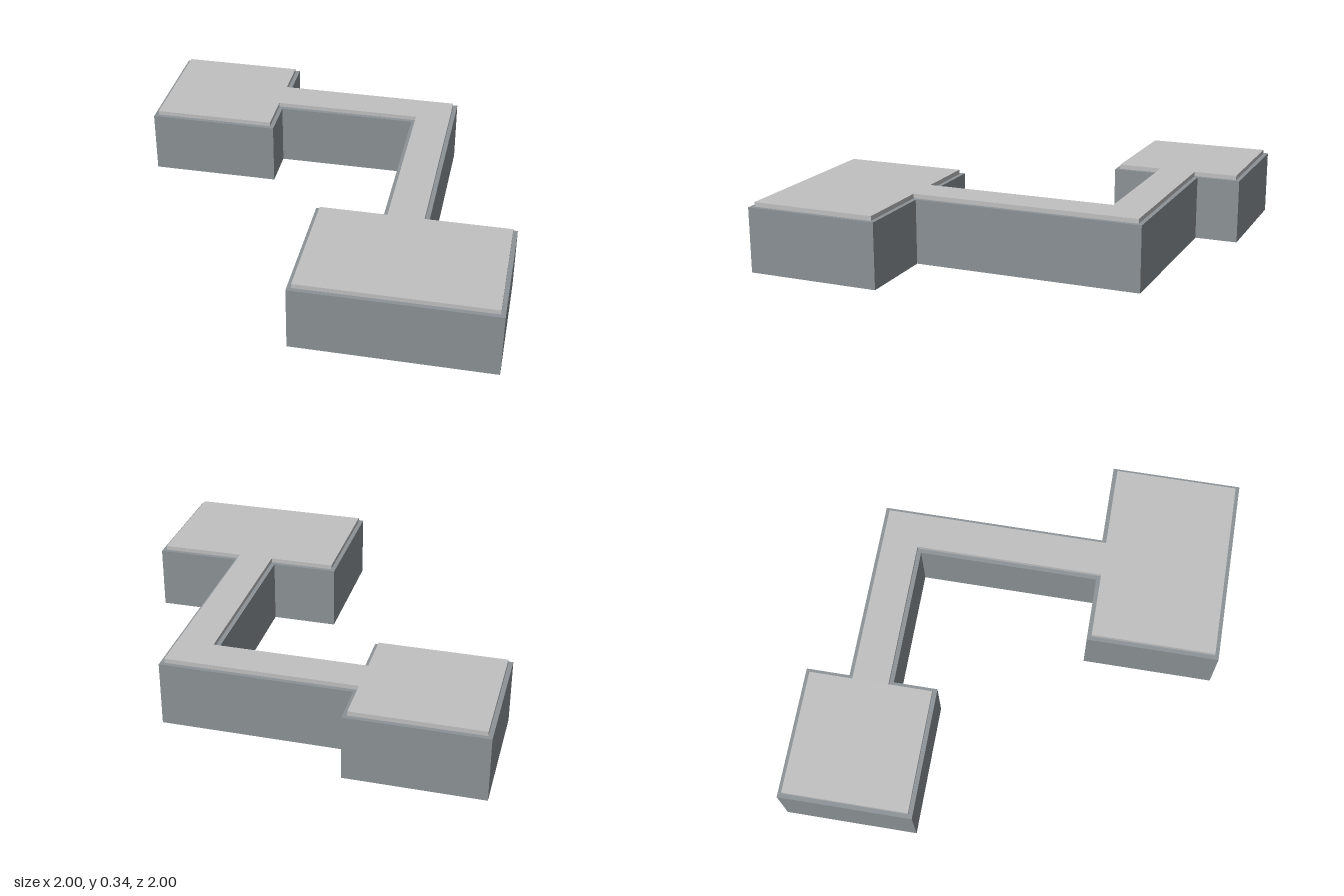
import * as THREE from 'three';

const wallMat = new THREE.MeshStandardMaterial({ color: 0x8c9296 });
wallMat.name = 'blueGreyWall';
const slabMat = new THREE.MeshStandardMaterial({ color: 0xc0c0c0 });
slabMat.name = 'lightGreySlab';

// Floor plan as [x, z]: back room, angled corridor, front room
const plan = [
  [-1, -1], [-0.343, -1], [-0.343, -0.785], [0.583, -0.785], [0.583, 0.34], [1, 0.34],
  [1, 1], [0.035, 1], [0.035, 0.34], [0.363, 0.34], [0.363, -0.562], [-0.343, -0.562],
  [-0.343, -0.344], [-1, -0.344],
];

// Moves every edge of the right-angled plan inwards by d
function inset(points, d) {
  const n = points.length;
  return points.map(([x, z], i) => {
    const a = points[(i + n - 1) % n];
    const b = points[(i + 1) % n];
    const inX = -Math.sign(z - a[1]) - Math.sign(b[1] - z);
    const inZ = Math.sign(x - a[0]) + Math.sign(b[0] - x);
    return [x + inX * d, z + inZ * d];
  });
}

// Upright prism over a plan, from y0 to y1
function prism(name, points, y0, y1, capMat, sideMat) {
  const shape = new THREE.Shape(points.map(([x, z]) => new THREE.Vector2(x, -z)));
  const geo = new THREE.ExtrudeGeometry(shape, { depth: y1 - y0, bevelEnabled: false });
  geo.rotateX(-Math.PI / 2).translate(0, y0, 0);
  const mesh = new THREE.Mesh(geo, [capMat, sideMat]);
  mesh.name = name;
  return mesh;
}

export function createModel() {
  const group = new THREE.Group();
  group.name = 'building';
  group.add(
    // Underside is grey, its thin edge continues the walls
    prism('floor', plan, 0, 0.004, slabMat, wallMat),
    prism('walls', plan, 0.004, 0.32, wallMat, wallMat),
    // Roof sits back from the wall edge
    prism('roof', inset(plan, 0.021), 0.32, 0.342, slabMat, slabMat),
  );
  return group;
}
